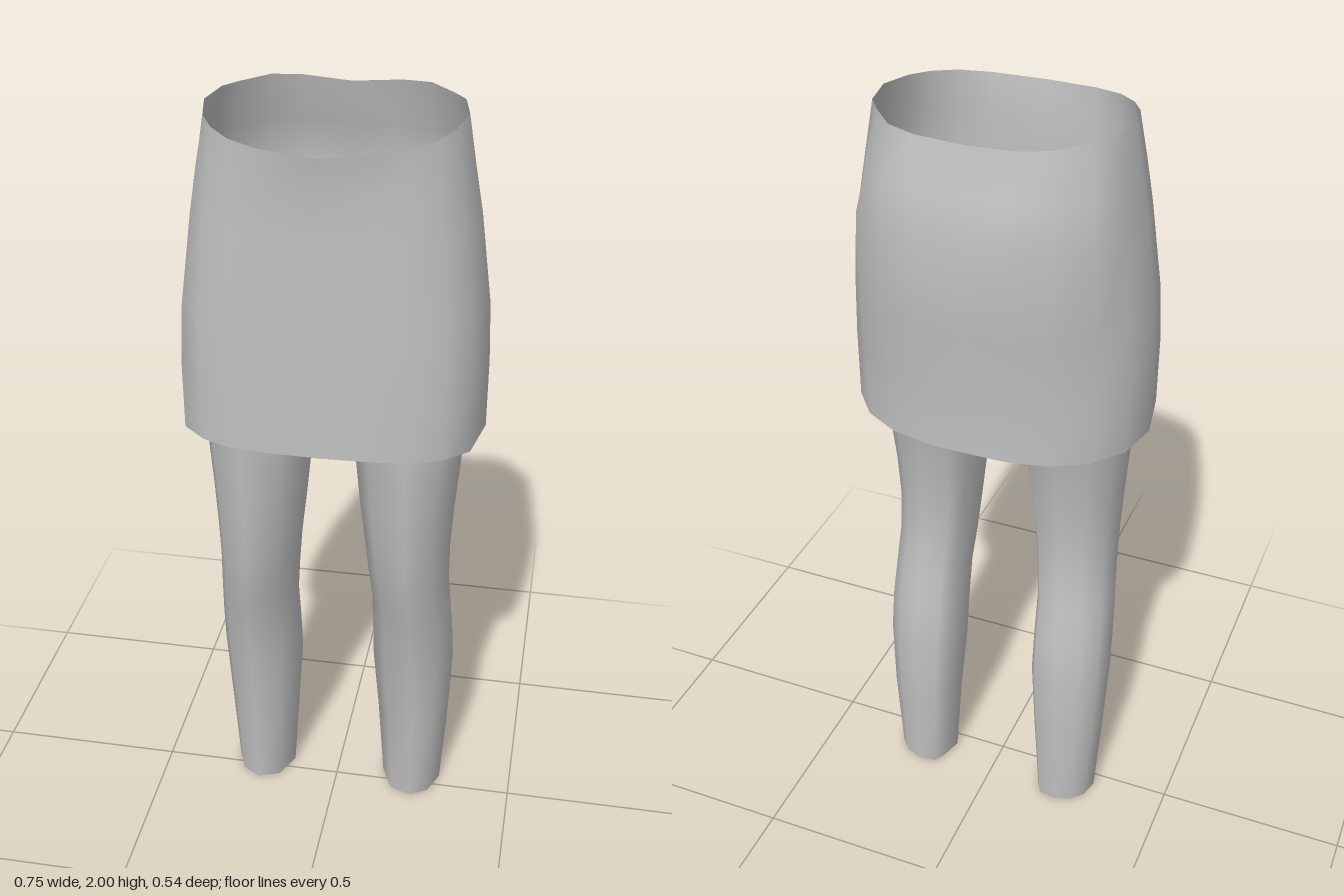
import * as THREE from 'three';

const fabric = new THREE.MeshStandardMaterial({ color: 0xc0c0c0, side: THREE.DoubleSide });
fabric.name = 'grey fabric';

// Skin a stack of closed rings (top to bottom, each running front > left > back > right)
function loft(rings) {
  const n = rings[0].length, index = [];
  for (let r = 0; r < rings.length - 1; r++) {
    for (let i = 0; i < n; i++) {
      const a = r * n + i, b = r * n + (i + 1) % n, c = a + n, d = b + n;
      index.push(a, c, b, b, c, d);
    }
  }
  const g = new THREE.BufferGeometry();
  g.setAttribute('position', new THREE.Float32BufferAttribute(rings.flat(2), 3));
  g.setIndex(index);
  g.computeVertexNormals();
  return g;
}

// Flat horizontal panel bounded by a ring, with optional holes
function panel(ring, holes = []) {
  const flat = (r) => r.map(([x, , z]) => new THREE.Vector2(x, z));
  const shape = new THREE.Shape(flat(ring));
  holes.forEach((h) => shape.holes.push(new THREE.Path(flat(h))));
  return new THREE.ShapeGeometry(shape).rotateX(Math.PI / 2).translate(0, ring[0][1], 0);
}

function add(parent, name, geometry) {
  const m = new THREE.Mesh(geometry, fabric);
  m.name = name;
  parent.add(m);
}

// Skirt half-sections [x, z] from centre front round to centre back
const WAIST = [[0, .27], [.13, .247], [.2, .215], [.25, .165], [.28, .11], [.3, .02],
  [.282, -.075], [.25, -.12], [.19, -.188], [.12, -.21], [0, -.206]];
const UPPER = [[0, .252], [.13, .241], [.205, .218], [.262, .175], [.3, .118], [.32, .02],
  [.302, -.083], [.268, -.15], [.197, -.22], [.115, -.243], [0, -.225]];
const SEAT = [[0, .25], [.13, .244], [.212, .225], [.272, .188], [.316, .13], [.34, .02],
  [.32, -.09], [.287, -.175], [.204, -.243], [.11, -.27], [0, -.265]];
const HIP = [[0, .25], [.13, .246], [.222, .232], [.288, .202], [.342, .15], [.369, .02],
  [.345, -.09], [.29, -.174], [.204, -.235], [.11, -.256], [0, -.258]];
const HEM = [[0, .25], [.13, .246], [.225, .236], [.292, .207], [.35, .155], [.375, .02],
  [.35, -.09], [.29, -.165], [.2, -.215], [.1, -.235], [0, -.237]];
const WAIST_Y = [1.963, 1.97, 1.977, 1.984, 1.99, 1.998, 2, 2, 2, 1.996, 1.988];

function skirtRing(half, y) {
  const left = half.map(([x, z], i) => [x, Array.isArray(y) ? y[i] : y, z]);
  const right = left.slice(1, -1).reverse().map(([x, yy, z]) => [-x, yy, z]);
  return [...left, ...right];
}

// Leg section on a unit square, inner side > front > outer side > back
const LEG_PROFILE = [[-1, 0], [-.6, .78], [.1, 1], [.68, .7], [1, .02],
  [.85, -.5], [.5, -.83], [-.05, -1], [-.6, -.93], [-.8, -.6]];
// y, inner x, outer x, front z, back z
const LEG_ROWS = [
  [1.222, .046, .327, .217, -.14],
  [1.14, .054, .322, .213, -.116],
  [1.0, .068, .311, .202, -.096],
  [.88, .082, .305, .19, -.085],
  [.77, .092, .305, .172, -.09],
  [.68, .1, .311, .148, -.104],
  [.56, .1, .318, .119, -.127],
  [.45, .1, .32, .1, -.141],
  [.25, .115, .312, .07, -.141],
  [0, .132, .297, .055, -.132],
];

function legRing([y, xi, xo, zf, zb], side) {
  const ring = LEG_PROFILE.map(([u, v]) => [
    side * ((xi + xo) / 2 + u * (xo - xi) / 2), y, (zf + zb) / 2 + v * (zf - zb) / 2]);
  return side > 0 ? ring : ring.reverse();
}

export function createModel() {
  const model = new THREE.Group();
  model.name = 'skirt with leggings';

  // Skirt shell, open at the waist
  const hem = skirtRing(HEM, 1.222);
  add(model, 'skirt', loft([skirtRing(WAIST, WAIST_Y), skirtRing(UPPER, 1.88),
    skirtRing(SEAT, 1.77), skirtRing(HIP, 1.55), skirtRing(HEM, 1.4), hem]));

  // Underside of the skirt, cut out for the legs
  add(model, 'skirtUnderside', panel(hem, [1, -1].map((s) => legRing(LEG_ROWS[0], s))));

  // Legs, open at the ankle and closed just below the top
  for (const [side, name] of [[1, 'left'], [-1, 'right']]) {
    const leg = new THREE.Group();
    leg.name = name + 'Leg';
    add(leg, name + 'Legging', loft(LEG_ROWS.map((row) => legRing(row, side))));
    add(leg, name + 'LegCap', panel(legRing(LEG_ROWS[1], side)));
    model.add(leg);
  }
  return model;
}
